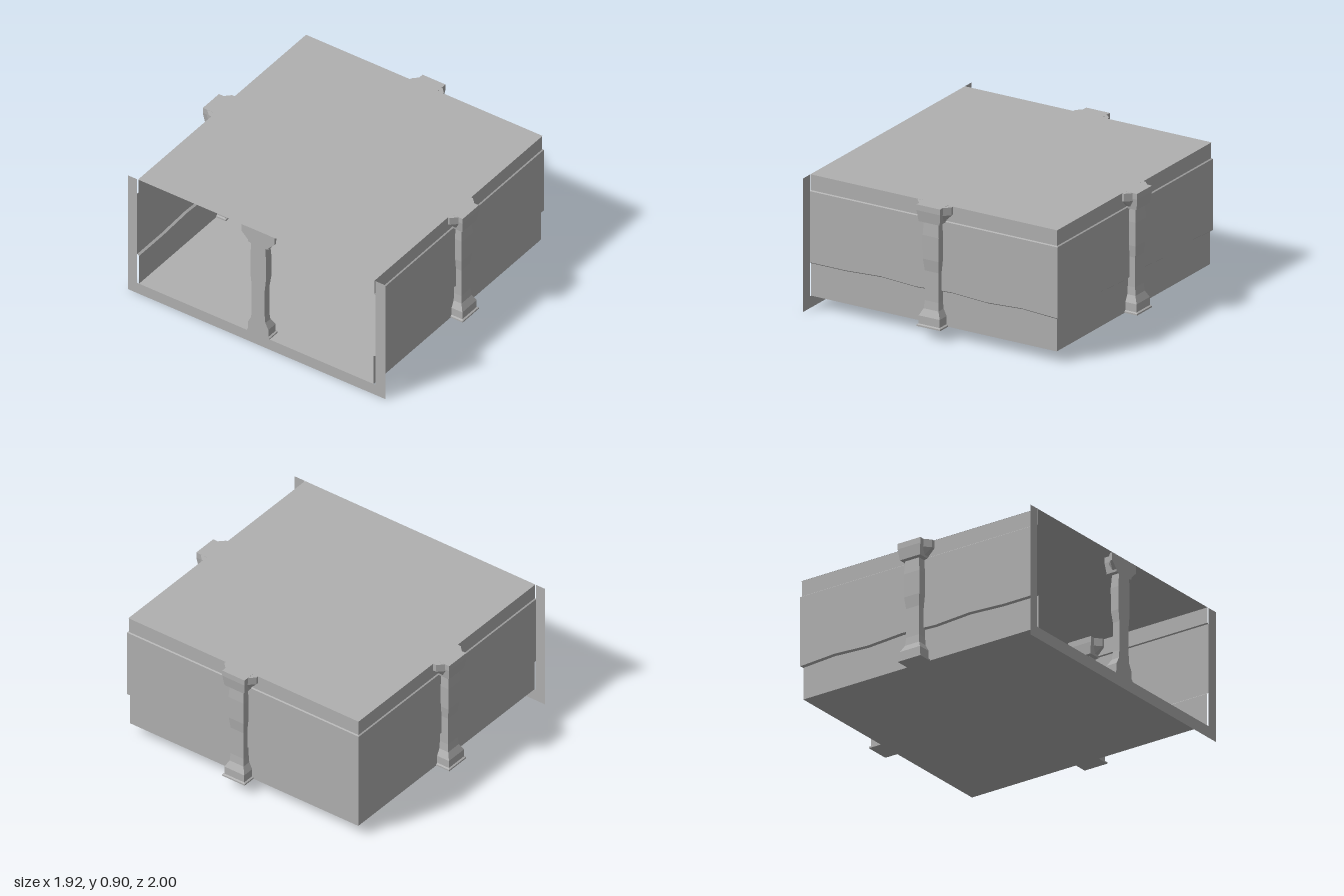
import * as THREE from 'three';
import { ConvexGeometry } from 'three/addons/geometries/ConvexGeometry.js';

const FLOOR = 0.08, TOP = 0.9;
const X0 = -0.96, X1 = 0.88, Z0 = -0.91, Z1 = 0.92;

export function createModel() {
  const model = new THREE.Group();
  const grey = new THREE.MeshStandardMaterial({ color: 0xb0b0b0 });
  grey.name = 'plaster grey';
  grey.flatShading = true;
  grey.side = THREE.DoubleSide;

  function add(name, geometry, parent = model) {
    const mesh = new THREE.Mesh(geometry, grey);
    mesh.name = name;
    parent.add(mesh);
    return mesh;
  }

  // Wall sheet: wainscot, wavy ledge, upper wall and crown; place(t, inset) gives [x, z]
  function wall(name, wave, place) {
    const segs = wave.length - 1;
    const geometry = new THREE.PlaneGeometry(1, 1, segs, 5);
    const pos = geometry.attributes.position;
    for (let i = 0; i <= segs; i++) {
      const ledge = 0.303 + 0.014 * wave[i];
      const rows = [[FLOOR, 0.014], [ledge - 0.004, 0.014], [ledge + 0.006, 0],
        [0.788, 0], [0.794, 0.008], [TOP, 0.008]];
      rows.forEach(([y, inset], r) => {
        const [x, z] = place(i / segs, inset);
        pos.setXYZ(r * (segs + 1) + i, x, y, z);
      });
    }
    geometry.computeVertexNormals();
    add(name, geometry);
  }

  const sideWave = [0, 1, 0, 1, 0, 1, 0, 0];
  const alongX = (t, inset) => Math.min(X1 + (X0 - X1) * t, X1 - inset);
  wall('frontWall', sideWave, (t, d) => [alongX(t, d), Z1 - d]);
  wall('backWall', sideWave, (t, d) => [alongX(t, d), Z0 + d]);
  wall('endWall', [0, 1, 0, 1, 0, 1, 1, 0], (t, d) =>
    [X1 - d, THREE.MathUtils.clamp(Z0 + (Z1 - Z0) * t, Z0 + d, Z1 - d)]);

  // Floor and ceiling sheets
  for (const [name, y, d] of [['floor', FLOOR, 0.014], ['ceiling', TOP, 0.006]]) {
    const sheet = new THREE.PlaneGeometry(X1 - d - X0, Z1 - Z0 - 2 * d);
    sheet.rotateX(-Math.PI / 2);
    sheet.translate((X0 + X1 - d) / 2, y, (Z0 + Z1) / 2);
    add(name, sheet);
  }

  // Flat frame around the open end
  const frame = new THREE.Shape([[-0.98, 0], [1, 0], [1, TOP], [Z1, TOP], [Z1, FLOOR],
    [Z0, FLOOR], [Z0, TOP], [-0.98, TOP]].map(p => new THREE.Vector2(-p[0], p[1])));
  const frameGeometry = new THREE.ShapeGeometry(frame);
  frameGeometry.rotateY(Math.PI / 2);
  frameGeometry.translate(X0, 0, 0);
  add('openingFrame', frameGeometry);

  // Square pillar profile: [half width, height]
  const profile = [[0, 0.08], [0.088, 0.08], [0.088, 0.09], [0.078, 0.096], [0.078, 0.15],
    [0.055, 0.195], [0.05, 0.25], [0.05, 0.45], [0.059, 0.53], [0.06, 0.69], [0.054, 0.78],
    [0.078, 0.785], [0.08, 0.8], [0.088, 0.86], [0.088, 0.899], [0, 0.899]];

  function pillar(name, x, z, turn, half) {
    const group = new THREE.Group();
    group.name = name;
    const shaft = new THREE.LatheGeometry(
      profile.map(([r, y]) => new THREE.Vector2(r * Math.SQRT2, y)), 4);
    shaft.rotateY(Math.PI / 4);

    // Flared brackets running along the wall
    const corners = [];
    for (const sx of [-1, 1]) for (const sz of [-1, 1]) {
      corners.push(new THREE.Vector3(sx * 0.07, 0.79, sz * 0.035));
      for (const y of [0.845, 0.898]) {
        corners.push(new THREE.Vector3(sx * 0.127, y, sz * 0.015));
        corners.push(new THREE.Vector3(sx * 0.086, y, sz * 0.056));
      }
    }
    const bracket = new ConvexGeometry(corners);

    // A half pillar is flattened onto the plane of the opening
    if (half) for (const g of [shaft, bracket]) {
      const p = g.attributes.position;
      for (let i = 0; i < p.count; i++) p.setZ(i, Math.max(0, p.getZ(i)));
      g.computeVertexNormals();
    }
    add('pillarShaft', shaft, group);
    add('pillarBracket', bracket, group);
    group.position.set(x, 0, z);
    group.rotation.y = turn;
    model.add(group);
  }

  pillar('frontPillar', -0.03, 0.911, 0, false);
  pillar('backPillar', -0.03, -0.911, 0, false);
  pillar('endPillar', 0.871, 0.02, Math.PI / 2, false);
  pillar('openingPillar', X0, 0.02, Math.PI / 2, true);

  return model;
}
